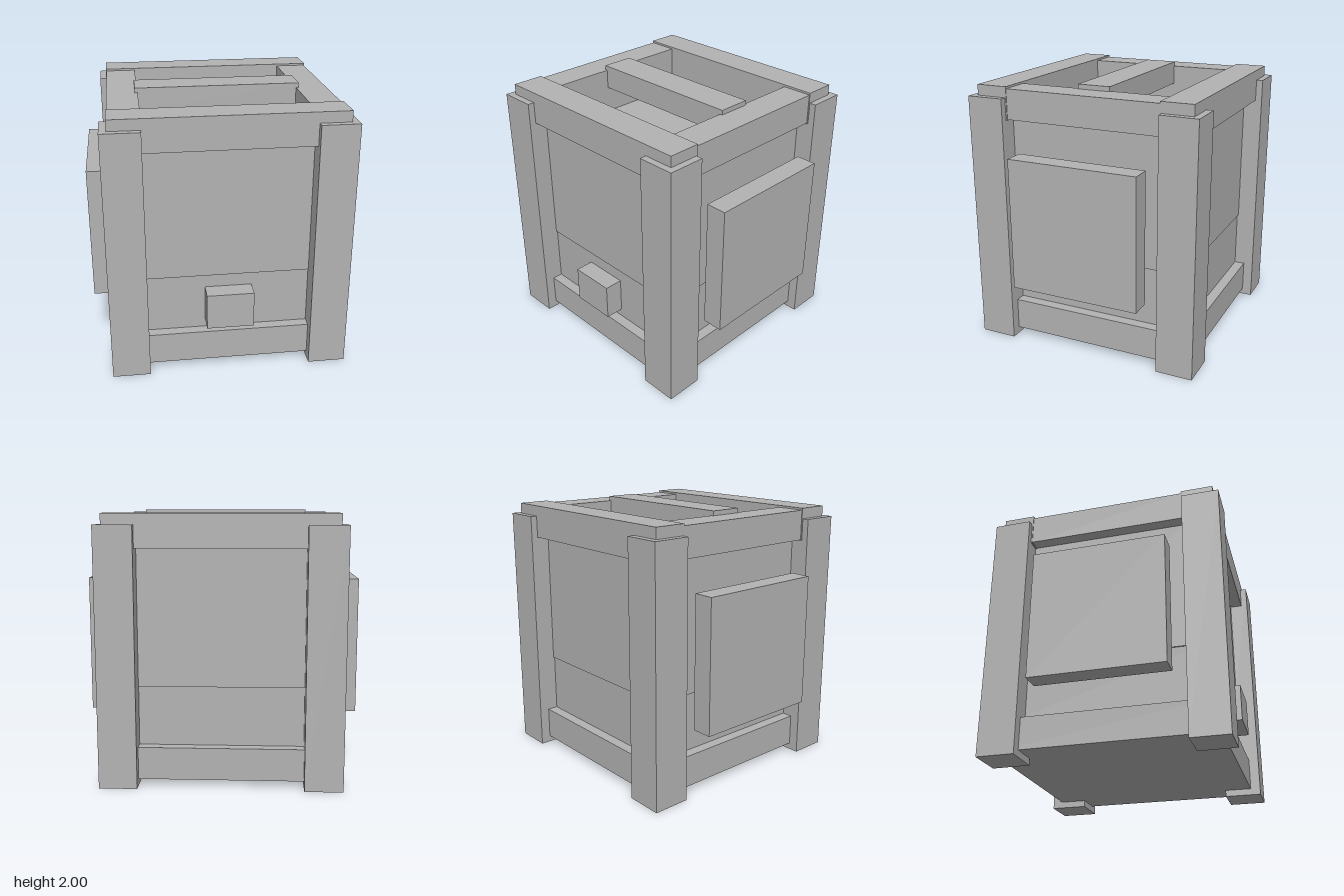
import * as THREE from 'three';

export function createModel() {
  const model = new THREE.Group();
  model.name = 'crate';
  const grey = new THREE.MeshStandardMaterial({ color: 0xb2b2b2 });
  grey.name = 'plain grey';

  // Axis-aligned box given by its limits on each axis
  const box = (name, [x0, x1], [y0, y1], [z0, z1]) => {
    const mesh = new THREE.Mesh(new THREE.BoxGeometry(x1 - x0, y1 - y0, z1 - z0), grey);
    mesh.position.set((x0 + x1) / 2, (y0 + y1) / 2, (z0 + z1) / 2);
    mesh.name = name;
    model.add(mesh);
  };
  const span = (side, a, b) => (side > 0 ? [a, b] : [-b, -a]);

  // Base slab and lower body
  box('base', [-0.81, 0.81], [0.05, 0.29], [-0.81, 0.81]);
  box('lowerBody', [-0.73, 0.73], [0.29, 0.73], [-0.73, 0.73]);
  // Upper body, closed by a recessed lid
  box('upperBody', [-0.6, 0.6], [0.73, 1.62], [-0.6, 0.6]);

  for (const s of [-1, 1]) {
    // Upper wall panels
    box('endPanel', [-0.74, 0.74], [0.73, 1.74], span(s, 0.6, 0.74));
    box('sidePanel', span(s, 0.6, 0.74), [0.73, 1.74], [-0.6, 0.6]);

    // Top frame
    box('endRail', [-0.835, 0.835], [1.735, 1.98], span(s, 0.595, 0.835));
    box('sideRail', span(s, 0.6, 0.83), [1.74, 1.965], [-0.595, 0.595]);

    // Square side plates on smaller mounts
    box('plateMount', span(s, 0.7, 0.845), [0.65, 1.35], [-0.355, 0.355]);
    box('sidePlate', span(s, 0.845, 1), [0.5, 1.5], [-0.5, 0.5]);

    // Corner posts
    for (const t of [-1, 1]) {
      box('cornerPost', span(s, 0.605, 0.885), [0, 1.9], span(t, 0.605, 0.885));
    }
  }

  // Crossbar over the top opening and block on the front
  box('crossbar', [-0.62, 0.62], [1.82, 2], [-0.125, 0.125]);
  box('frontBlock', [-0.175, 0.175], [0.355, 0.63], [0.72, 0.87]);

  return model;
}
